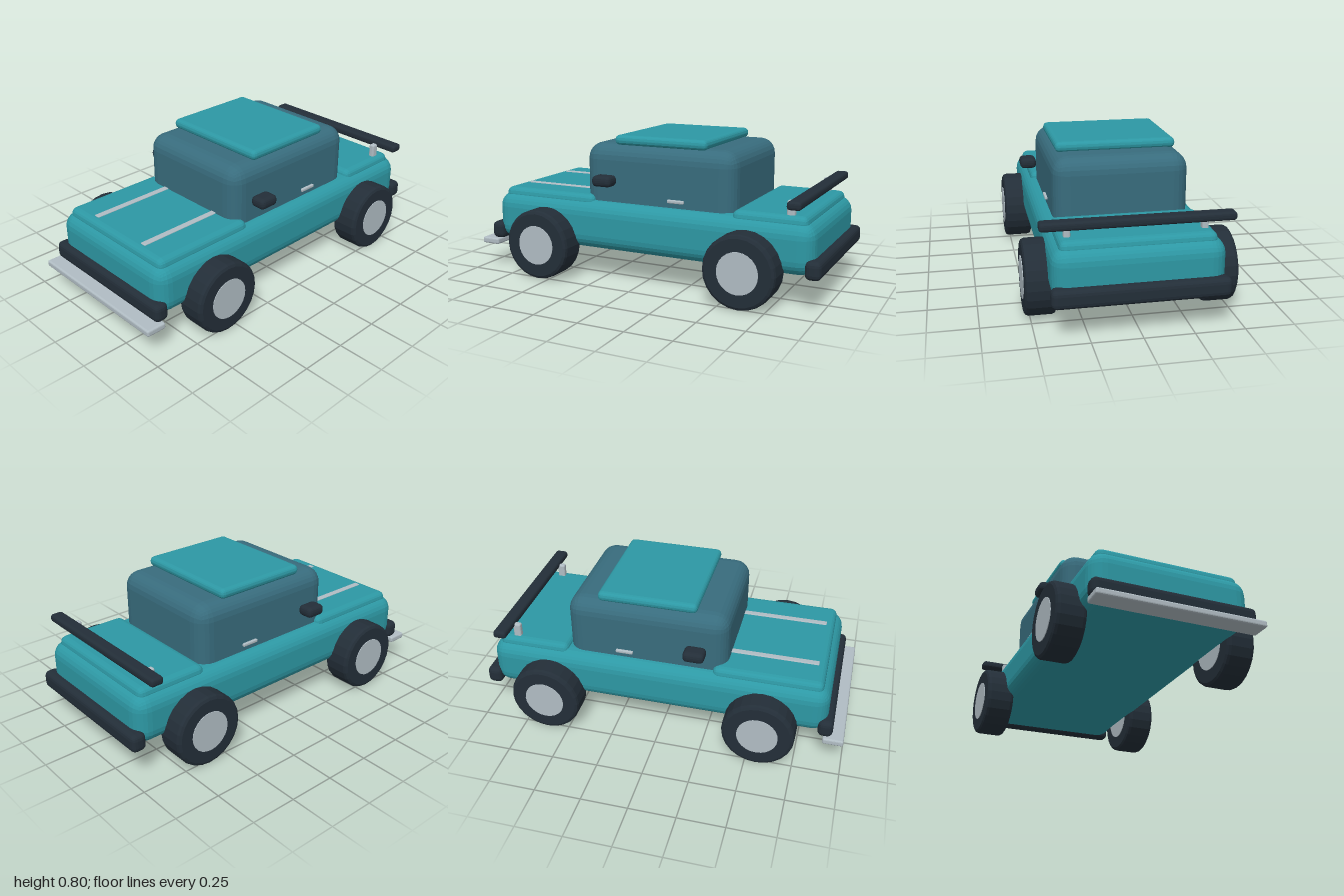
import * as THREE from 'three';
import { RoundedBoxGeometry } from 'three/addons/geometries/RoundedBoxGeometry.js';

export function createModel() {
  const car = new THREE.Group();
  car.name = 'car';

  const material = (name, color) => {
    const m = new THREE.MeshStandardMaterial({ color });
    m.name = name;
    return m;
  };
  const paint = material('teal paint', 0x2d98a4);
  const glass = material('tinted glass', 0x386c7d);
  const rubber = material('dark rubber', 0x232e38);
  const metal = material('light metal', 0xb0bcc3);

  // Adds a mesh with faceted normals
  const add = (name, geometry, mat, parent = car) => {
    const faceted = geometry.index ? geometry.toNonIndexed() : geometry;
    faceted.computeVertexNormals();
    const mesh = new THREE.Mesh(faceted, mat);
    mesh.name = name;
    parent.add(mesh);
    return mesh;
  };

  // Rounded block given by its extents along each axis
  const block = (name, mat, [x0, x1], [y0, y1], [z0, z1], radius, segments = 2) => {
    const geometry = new RoundedBoxGeometry(x1 - x0, y1 - y0, z1 - z0, segments, radius);
    const mesh = add(name, geometry, mat);
    mesh.position.set((x0 + x1) / 2, (y0 + y1) / 2, (z0 + z1) / 2);
    return mesh;
  };

  // Bodywork
  block('body', paint, [-0.42, 0.42], [0.172, 0.44], [-0.957, 0.904], 0.08, 3);
  block('hood', paint, [-0.38, 0.38], [0.39, 0.468], [0.28, 0.865], 0.035);
  block('trunk', paint, [-0.38, 0.38], [0.39, 0.468], [-0.915, -0.52], 0.035);
  block('cabin', glass, [-0.35, 0.35], [0.35, 0.75], [-0.524, 0.353], 0.085, 3);
  block('roof', paint, [-0.316, 0.316], [0.743, 0.797], [-0.355, 0.182], 0.025);

  // Bumpers and front splitter
  block('frontBumper', rubber, [-0.43, 0.43], [0.17, 0.266], [0.858, 0.938], 0.028);
  block('rearBumper', rubber, [-0.43, 0.43], [0.17, 0.266], [-1, -0.918], 0.028);
  block('splitter', metal, [-0.437, 0.437], [0.134, 0.169], [0.89, 1], 0.01);

  // Rear wing
  block('wing', rubber, [-0.47, 0.47], [0.517, 0.56], [-0.905, -0.833], 0.016);

  // Wheel: tyre profile swept round the axle, with a hub showing on both faces
  const profile = [
    [0.1, -0.078], [0.175, -0.078], [0.188, -0.071], [0.193, -0.058],
    [0.193, 0.058], [0.188, 0.071], [0.175, 0.078], [0.1, 0.078],
  ].map(([r, w]) => new THREE.Vector2(r, w));
  const wheel = (name, x, z) => {
    const group = new THREE.Group();
    group.name = name;
    group.position.set(x, 0.193, z);
    group.rotation.z = Math.PI / 2;
    add('tyre', new THREE.LatheGeometry(profile, 24), rubber, group);
    add('hub', new THREE.CylinderGeometry(0.109, 0.109, 0.163, 24), metal, group);
    car.add(group);
  };

  // Mirrored parts
  for (const [side, s] of [['left', 1], ['right', -1]]) {
    const span = (a, b) => (s > 0 ? [a, b] : [-b, -a]);
    wheel(side + 'FrontWheel', s * 0.452, 0.56);
    wheel(side + 'RearWheel', s * 0.452, -0.617);
    block(side + 'Mirror', rubber, span(0.361, 0.452), [0.533, 0.592], [0.136, 0.25], 0.024);
    block(side + 'WingPost', metal, span(0.317, 0.35), [0.44, 0.54], [-0.843, -0.8], 0.01);
    block(side + 'HoodStripe', metal, span(0.176, 0.21), [0.452, 0.473], [0.33, 0.82], 0.004, 1);
    block(side + 'DoorHandle', metal, span(0.34, 0.363), [0.465, 0.483], [-0.25, -0.155], 0.005, 1);
  }

  return car;
}
